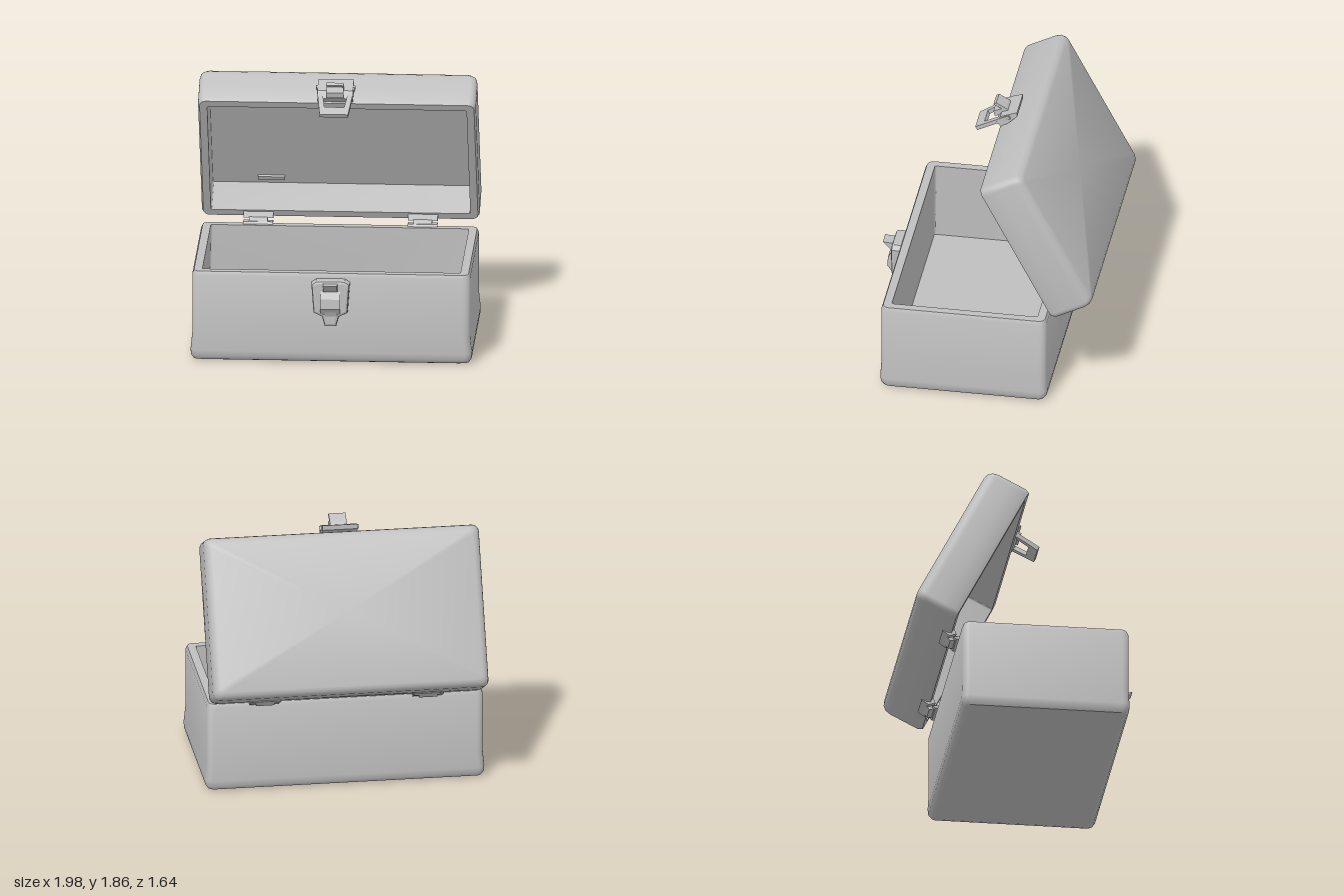
import * as THREE from 'three';
import { toCreasedNormals } from 'three/addons/utils/BufferGeometryUtils.js';

const grey = new THREE.MeshStandardMaterial({ color: 0xbfbfbf, side: THREE.DoubleSide });
grey.name = 'plain grey';

function add(parent, name, geometry, position = [0, 0, 0]) {
  const mesh = new THREE.Mesh(geometry, grey);
  mesh.name = name;
  mesh.position.set(...position);
  parent.add(mesh);
  return mesh;
}

// Hollow open box lofted through rounded rectangles: rings of [inset, y, corner radius]
function tray(halfX, halfZ, rings, bulge = 0) {
  const steps = 5, pos = [], idx = [], n = 4 * (steps + 1);
  for (const [inset, y, r] of rings) {
    const a = Math.max(halfX - inset, 0), b = Math.max(halfZ - inset, 0);
    for (let c = 0; c < 4; c++) {
      const sx = c === 0 || c === 3 ? 1 : -1, sz = c < 2 ? 1 : -1;
      for (let s = 0; s <= steps; s++) {
        const t = (c + s / steps) * Math.PI / 2;
        // lower corners swell slightly
        const k = y < 0.2 && y > 0.01 && r > 0 ? bulge * (1 - y / 0.2) : 0;
        pos.push(sx * (a - r + k) + r * Math.cos(t), y, sz * (b - r + k / 2) + r * Math.sin(t));
      }
    }
  }
  for (let i = 0; i < rings.length - 1; i++) {
    for (let j = 0; j < n; j++) {
      const p = i * n + j, q = i * n + (j + 1) % n;
      idx.push(p, p + n, q, q, p + n, q + n);
    }
  }
  const g = new THREE.BufferGeometry();
  g.setAttribute('position', new THREE.Float32BufferAttribute(pos, 3));
  g.setIndex(idx);
  return toCreasedNormals(g.toNonIndexed(), 0.7);
}

// Outer bottom, rounded edge, wall, rim, inner wall and floor
function trayRings(h, wall, floor) {
  return [
    [9, 0, 0], [0.05, 0, 0.03], [0.025, 0.012, 0.045], [0.006, 0.04, 0.05], [0, 0.08, 0.05],
    [0, 0.2, 0.05], [0, h - 0.03, 0.05], [0.012, h, 0.045], [wall, h, 0.012],
    [wall, floor, 0.012], [9, floor, 0],
  ];
}

// Side profile of [z, y] points swept along x
function sideSlab(points, width) {
  const g = new THREE.ExtrudeGeometry(new THREE.Shape(points.map(p => new THREE.Vector2(...p))),
    { depth: width, bevelEnabled: false });
  return g.translate(0, 0, -width / 2).rotateY(-Math.PI / 2);
}

// Flat outline in x, y given by its +x half, mirrored
function plate(half, depth, hole, bevel = 0) {
  const pts = [...half, ...half.map(([x, y]) => [-x, y]).reverse()];
  const shape = new THREE.Shape(pts.map(p => new THREE.Vector2(...p)));
  if (hole) shape.holes.push(new THREE.Path(hole.map(p => new THREE.Vector2(...p))));
  return new THREE.ExtrudeGeometry(shape, {
    depth, bevelEnabled: bevel > 0, bevelSize: bevel, bevelThickness: bevel,
    bevelOffset: -bevel, bevelSegments: 2,
  });
}

export function createModel() {
  const model = new THREE.Group();
  model.name = 'openChest';

  // Lower box
  add(model, 'lowerBox', tray(0.98, 0.59, trayRings(0.66, 0.07, 0.08), 0.02), [0, 0, 0.1]);

  // Lid, leaning back
  const lid = new THREE.Group();
  lid.name = 'lid';
  lid.position.set(0, 1.348, -0.569);
  lid.rotation.x = 2.049;
  model.add(lid);
  add(lid, 'lidShell', tray(0.98, 0.575, trayRings(0.33, 0.065, 0.05)));
  add(lid, 'innerCatch', new THREE.BoxGeometry(0.19, 0.02, 0.03), [-0.5, 0.06, 0.45]);

  // Hinges: leaves joined by a narrow neck
  for (const side of [-1, 1]) {
    const hinge = new THREE.Group();
    hinge.name = side < 0 ? 'rightHinge' : 'leftHinge';
    hinge.position.x = side * 0.58;
    model.add(hinge);
    add(hinge, 'lowerLeaf', sideSlab([[-0.44, 0.65], [-0.5, 0.65], [-0.52, 0.67], [-0.46, 0.675]], 0.21));
    add(hinge, 'neck', sideSlab([[-0.45, 0.66], [-0.54, 0.655], [-0.57, 0.69], [-0.55, 0.72], [-0.49, 0.69]], 0.13));
    add(hinge, 'upperLeaf', sideSlab([[-0.5, 0.69], [-0.55, 0.675], [-0.6, 0.71], [-0.52, 0.74]], 0.21));
  }

  // Lock on the front of the box
  const lock = new THREE.Group();
  lock.name = 'lock';
  model.add(lock);
  add(lock, 'lockPlate', plate(
    [[0.04, 0.29], [0.06, 0.36], [0.12, 0.39], [0.135, 0.6], [0.1, 0.625]], 0.06, null, 0.02), [0, 0, 0.68]);
  add(lock, 'lockBody', sideSlab(
    [[0.69, 0.4], [0.76, 0.38], [0.795, 0.43], [0.79, 0.5], [0.76, 0.55], [0.69, 0.58]], 0.14));
  add(lock, 'lockHook', sideSlab([[0.7, 0.56], [0.77, 0.55], [0.83, 0.61], [0.77, 0.605], [0.7, 0.62]], 0.1));
  add(lock, 'lockTongue', sideSlab([[0.7, 0.32], [0.725, 0.29], [0.775, 0.4], [0.7, 0.42]], 0.08));

  // Hasp on the free edge of the lid
  const hasp = new THREE.Group();
  hasp.name = 'hasp';
  hasp.position.x = -0.01;
  model.add(hasp);
  add(hasp, 'haspBase', sideSlab(
    [[-0.14, 1.8], [-0.03, 1.7], [0.01, 1.74], [-0.02, 1.79], [-0.14, 1.835]], 0.25));
  add(hasp, 'haspKnob', sideSlab(
    [[-0.08, 1.79], [0.03, 1.75], [0.04, 1.79], [-0.02, 1.815], [0.04, 1.845], [0.02, 1.86], [-0.05, 1.82]], 0.12));
  const flap = add(hasp, 'haspFlap', plate(
    [[0.1, 0.24], [0.13, 0.0], [0.14, -0.04]].map(([x, y]) => [x, y]).reverse(), 0.03,
    [[-0.07, 0.17], [0.07, 0.17], [0.09, 0.03], [-0.09, 0.03]]), [0, 1.79, -0.045]);
  flap.rotation.x = 2.094;

  return model;
}
